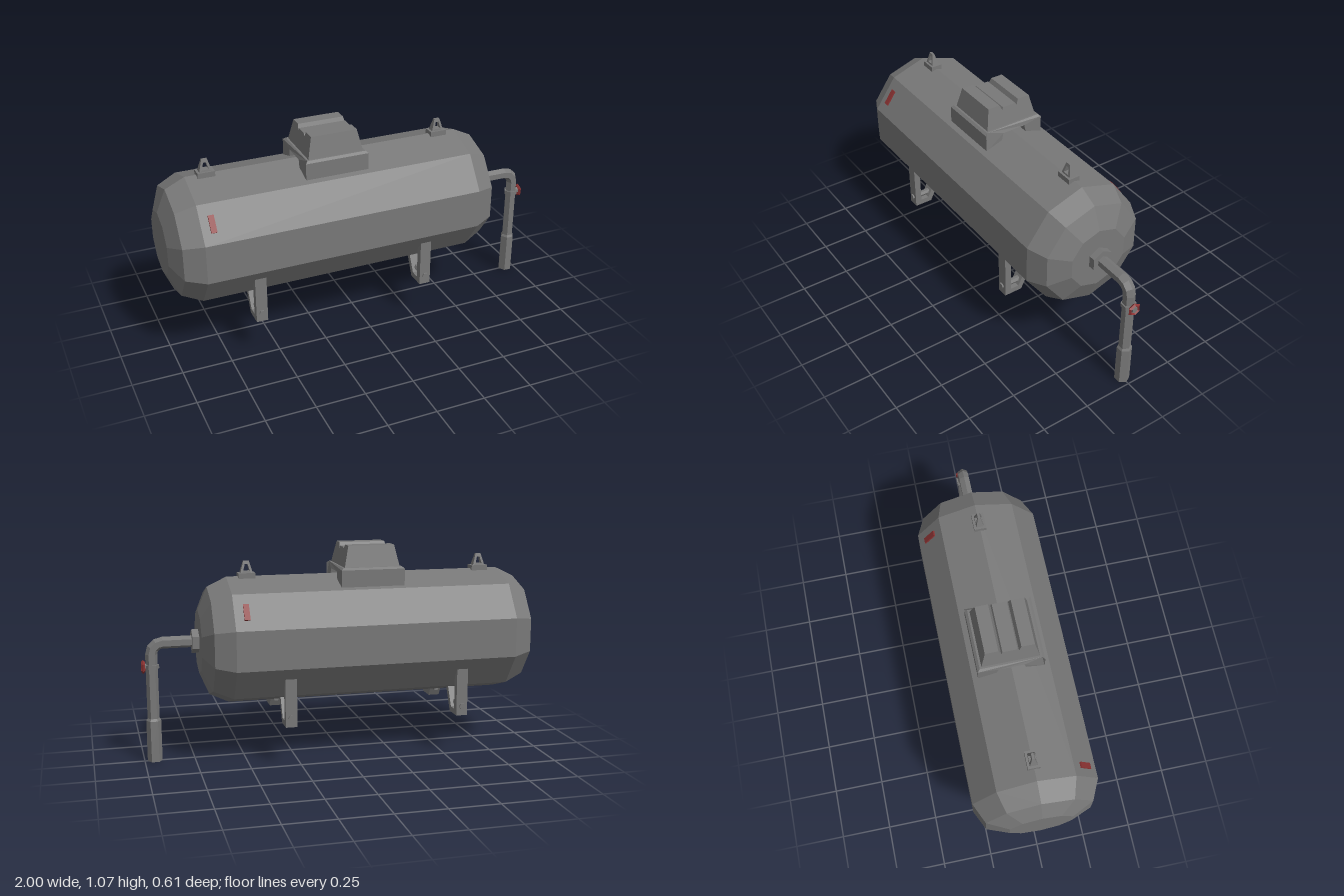
import * as THREE from 'three';

const steel = new THREE.MeshStandardMaterial({ color: 0x787878, flatShading: true });
steel.name = 'grey steel';
const red = new THREE.MeshStandardMaterial({ color: 0x8a3232, flatShading: true });
red.name = 'red paint';

export function createModel() {
  const model = new THREE.Group();
  model.name = 'storageTank';

  const add = (name, geo, x = 0, y = 0, z = 0, mat = steel) => {
    const mesh = new THREE.Mesh(geo, mat);
    mesh.name = name;
    mesh.position.set(x, y, z);
    model.add(mesh);
    return mesh;
  };
  const shapeOf = pts => new THREE.Shape(pts.map(p => new THREE.Vector2(...p)));
  // Extrude a (z, y) outline along x, centred on x = 0
  const extrudeX = (pts, width) =>
    new THREE.ExtrudeGeometry(shapeOf(pts), { depth: width, bevelEnabled: false })
      .rotateY(-Math.PI / 2).translate(width / 2, 0, 0);
  // Scale one axis by a factor that changes linearly between two heights
  const taper = (geo, axis, y0, s0, y1, s1) => {
    const p = geo.attributes.position;
    for (let i = 0; i < p.count; i++) {
      const t = THREE.MathUtils.clamp((p.getY(i) - y0) / (y1 - y0), 0, 1);
      p.setComponent(i, axis, p.getComponent(i, axis) * (s0 + (s1 - s0) * t));
    }
    geo.computeVertexNormals();
    return geo;
  };
  // Six-sided bar along y, corners facing +x and -x
  const hexBar = (r, length) => new THREE.CylinderGeometry(r, r, length, 6).rotateY(Math.PI / 6);

  // Ten-sided vessel with stepped domed ends
  const profile = [[0, -1], [0.16, -1], [0.273, -0.953], [0.32, -0.855],
    [0.32, 0.57], [0.273, 0.668], [0.16, 0.716], [0, 0.716]];
  add('vessel', new THREE.LatheGeometry(profile.map(p => new THREE.Vector2(...p)), 10, Math.PI / 2)
    .rotateZ(-Math.PI / 2), 0, 0.6, 0);

  // Valve hood: arched skirt and tapered grooved cover
  const mirror = half => [...half, ...half.map(([z, y]) => [-z, y]).reverse()];
  const skirt = extrudeX(mirror([[0.062, 0.935], [0.079, 0.86], [0.162, 0.86],
    [0.162, 0.952], [0.15, 0.962]]), 0.325);
  add('hoodSkirt', taper(skirt, 0, 0.953, 1, 0.962, 0.93), -0.142);
  const cover = extrudeX(mirror([[0.141, 0.958], [0.118, 1.068], [0.054, 1.068],
    [0.042, 1.041], [0.036, 1.053]]), 0.285);
  add('hoodCover', taper(cover, 0, 0.958, 1, 1.068, 0.83), -0.142);

  // Lifting lugs
  for (const x of [-0.755, 0.47]) {
    add('lugBase', new THREE.BoxGeometry(0.085, 0.04, 0.06), x, 0.917, 0);
    const eye = shapeOf([[-0.033, 0.93], [0.033, 0.93], [0.014, 0.996], [-0.014, 0.996]]);
    eye.holes.push(new THREE.Path([[-0.017, 0.945], [-0.007, 0.98], [0.007, 0.98], [0.017, 0.945]]
      .map(p => new THREE.Vector2(...p))));
    const geo = new THREE.ExtrudeGeometry(eye, { depth: 0.04, bevelEnabled: false }).translate(0, 0, -0.02);
    add('lugEye', taper(geo, 2, 0.935, 1, 0.996, 0.3), x);
  }

  // Four bracket legs with cross bolts
  for (const x of [-0.587, 0.3]) {
    for (const side of [1, -1]) {
      const outline = [[0.262, 0.2], [0.262, 0.445], [0.228, 0.445], [0.228, 0.228],
        [0.183, 0.228], [0.122, 0.345], [0.092, 0.345], [0.166, 0.2]];
      add('leg', extrudeX(outline.map(([z, y]) => [z * side, y]), 0.058), x);
      add('legBolt', hexBar(0.016, 0.14).rotateX(Math.PI / 2), x, 0.248, 0.2 * side);
    }
  }

  // Red markers lying on the upper sloped panels
  for (const [x, side] of [[-0.8, 1], [0.51, -1]]) {
    const marker = add('marker', new THREE.BoxGeometry(0.028, 0.009, 0.085), x, 0.781, 0.249 * side, red);
    marker.rotation.x = side * THREE.MathUtils.degToRad(54);
  }

  // Outlet pipe: flange, run, elbow, drop and nozzle
  const alongX = geo => geo.rotateZ(-Math.PI / 2);
  add('flange', alongX(hexBar(0.06, 0.04)), 0.73, 0.603, 0);
  add('pipeRun', alongX(hexBar(0.03, 0.164)), 0.812, 0.603, 0);
  add('pipeElbow', new THREE.TorusGeometry(0.055, 0.03, 6, 3, Math.PI / 2), 0.894, 0.548, 0);
  add('pipeDrop', hexBar(0.03, 0.36), 0.949, 0.368, 0);
  add('nozzle', hexBar(0.037, 0.21), 0.949, 0.105, 0);
  add('nozzleShoulder', new THREE.CylinderGeometry(0.03, 0.037, 0.012, 6).rotateY(Math.PI / 6), 0.949, 0.216, 0);

  // Shut-off valve with red handwheel
  add('valveCollar', hexBar(0.037, 0.02), 0.949, 0.485, 0);
  add('valveStem', alongX(hexBar(0.016, 0.035)), 0.98, 0.485, 0);
  add('handwheel', new THREE.TorusGeometry(0.027, 0.009, 4, 6).rotateZ(Math.PI / 2)
    .rotateY(Math.PI / 2), 0.991, 0.485, 0, red);

  return model;
}
